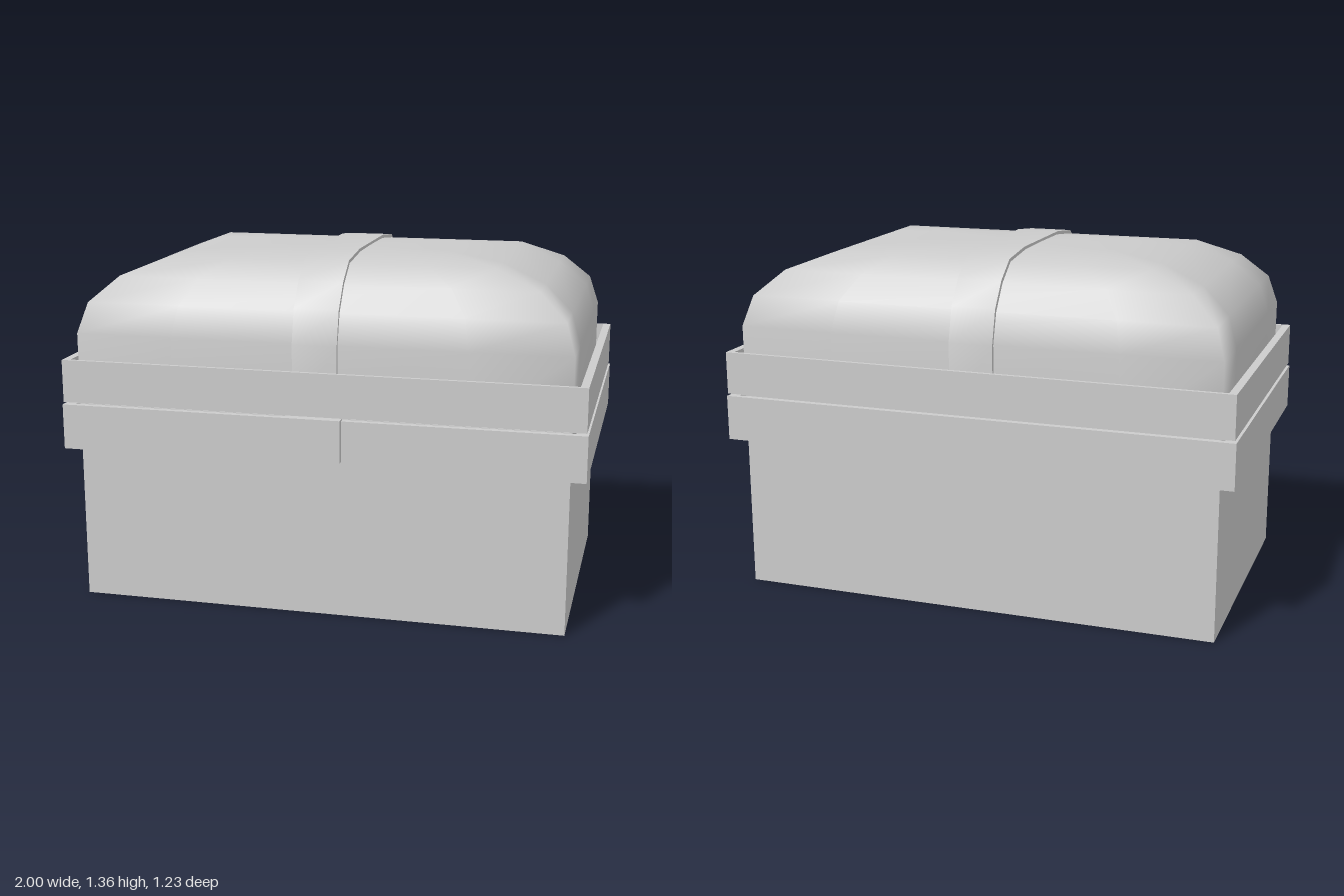
import * as THREE from 'three';
import { toCreasedNormals } from 'three/addons/utils/BufferGeometryUtils.js';

const grey = new THREE.MeshStandardMaterial({ color: 0xcccccc });
const greyDouble = new THREE.MeshStandardMaterial({ color: 0xcccccc, side: THREE.DoubleSide });

// Lid sections: half width, half depth, height
const lidRings = [
  [0.94, 0.568, 0.78], [0.94, 0.568, 1.05], [0.905, 0.535, 1.165],
  [0.8, 0.465, 1.26], [0.63, 0.375, 1.325], [0.42, 0.2, 1.345],
];

function add(group, name, geometry, material = grey) {
  const mesh = new THREE.Mesh(geometry, material);
  mesh.name = name;
  group.add(mesh);
  return mesh;
}

// Flat shape in x/y pushed along z
function extrude(shape, depth) {
  return new THREE.ExtrudeGeometry(shape, { depth, bevelEnabled: false });
}

// Rectangular frame open at top and bottom
function frame(hx, hz, ix, iz, y0, y1) {
  const rect = (T, a, b) => new T([[-a, -b], [a, -b], [a, b], [-a, b]].map((p) => new THREE.Vector2(...p)));
  const shape = rect(THREE.Shape, hx, hz);
  shape.holes.push(rect(THREE.Path, ix, iz));
  return extrude(shape, y1 - y0).rotateX(-Math.PI / 2).translate(0, y0, -0.005);
}

// Domed lid: rectangular loops shrinking upward, closed by a fan
function lidGeometry() {
  const corners = [[-1, 1], [1, 1], [1, -1], [-1, -1]];
  const steps = [0, 0.2, 0.8];
  const n = corners.length * steps.length;
  const pos = [], index = [];
  for (const [hx, hz, y] of lidRings) {
    corners.forEach((a, k) => {
      const b = corners[(k + 1) % 4];
      for (const t of steps) {
        pos.push(hx * (a[0] + (b[0] - a[0]) * t), y, hz * (a[1] + (b[1] - a[1]) * t));
      }
    });
  }
  for (let r = 0; r < lidRings.length - 1; r++) {
    for (let i = 0; i < n; i++) {
      const a = r * n + i, b = r * n + (i + 1) % n;
      index.push(a, b, b + n, a, b + n, a + n);
    }
  }
  const last = (lidRings.length - 1) * n;
  pos.push(0, 1.347, 0);
  for (let i = 0; i < n; i++) index.push(last + i, last + (i + 1) % n, pos.length / 3 - 1);
  const g = new THREE.BufferGeometry();
  g.setAttribute('position', new THREE.Float32BufferAttribute(pos, 3));
  g.setIndex(index);
  g.computeVertexNormals();
  return g;
}

// Strap: the lid's side profile, slightly enlarged, with a thin wall
function strapGeometry() {
  const arch = (grow) => {
    const half = lidRings.map(([, z, y]) => [z + grow, y + (y > 1.1 ? grow : 0)]);
    return [...half, ...half.map(([z, y]) => [-z, y]).reverse()];
  };
  const outline = [...arch(0.012), ...arch(-0.01).reverse()];
  const shape = new THREE.Shape(outline.map((p) => new THREE.Vector2(...p)));
  const g = extrude(shape, 0.17).rotateY(-Math.PI / 2).translate(0.08, 0, 0);
  return toCreasedNormals(g, 0.7);
}

export function createModel() {
  const chest = new THREE.Group();
  chest.name = 'chest';

  // Body
  add(chest, 'body', new THREE.BoxGeometry(1.88, 0.775, 1.136)).position.y = 0.3875;

  // Rims where body and lid meet
  add(chest, 'lowerRim', frame(1, 0.605, 0.955, 0.58, 0.6, 0.775));
  add(chest, 'upperRim', frame(0.995, 0.605, 0.965, 0.59, 0.785, 0.95));

  // Lid and strap
  add(chest, 'lid', lidGeometry(), greyDouble);
  add(chest, 'strap', strapGeometry());

  // Pointed clasp on the front
  const clasp = new THREE.Shape([
    [-0.115, 0.78], [-0.115, 0.62], [-0.01, 0.51], [0.1, 0.62], [0.1, 0.78],
  ].map((p) => new THREE.Vector2(...p)));
  add(chest, 'clasp', extrude(clasp, 0.033).translate(0, 0, 0.585));

  return chest;
}
